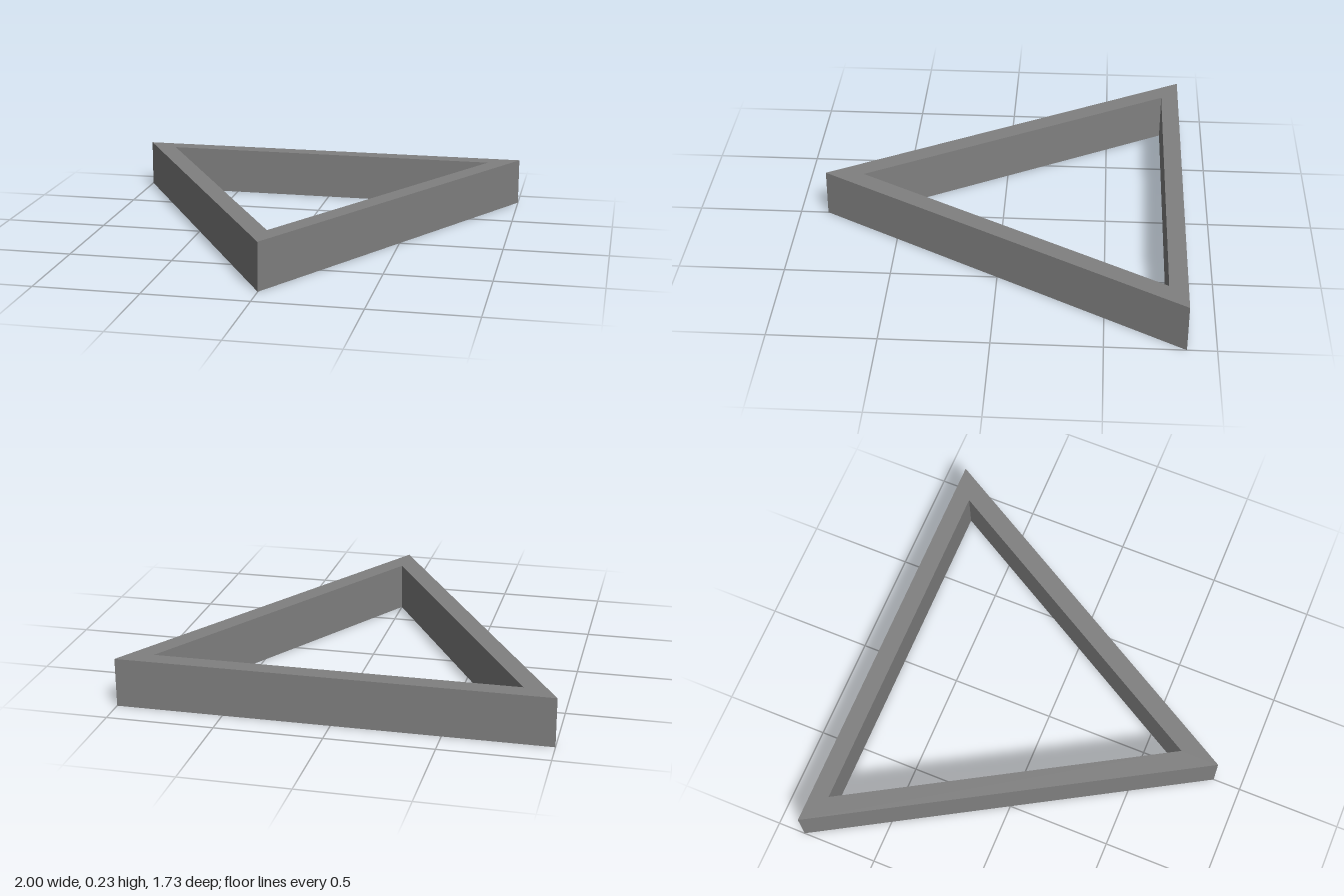
import * as THREE from 'three';

// Closed triangle with a flat back edge and a point towards the front
function triangle(PathType, halfWidth, backZ, tipZ) {
  const path = new PathType();
  path.moveTo(-halfWidth, -backZ);
  path.lineTo(0, -tipZ);
  path.lineTo(halfWidth, -backZ);
  path.closePath();
  return path;
}

export function createModel() {
  const group = new THREE.Group();
  group.name = 'triangularFrame';

  const grey = new THREE.MeshStandardMaterial({ color: 0x808080 });
  grey.name = 'grey';

  // Upright-walled triangular ring, open through the middle
  const outline = triangle(THREE.Shape, 1, -0.866, 0.866);
  outline.holes.push(triangle(THREE.Path, 0.843, -0.78, 0.68));
  const geometry = new THREE.ExtrudeGeometry(outline, { depth: 0.23, bevelEnabled: false });
  geometry.rotateX(-Math.PI / 2);

  const frame = new THREE.Mesh(geometry, grey);
  frame.name = 'frame';
  group.add(frame);
  return group;
}
